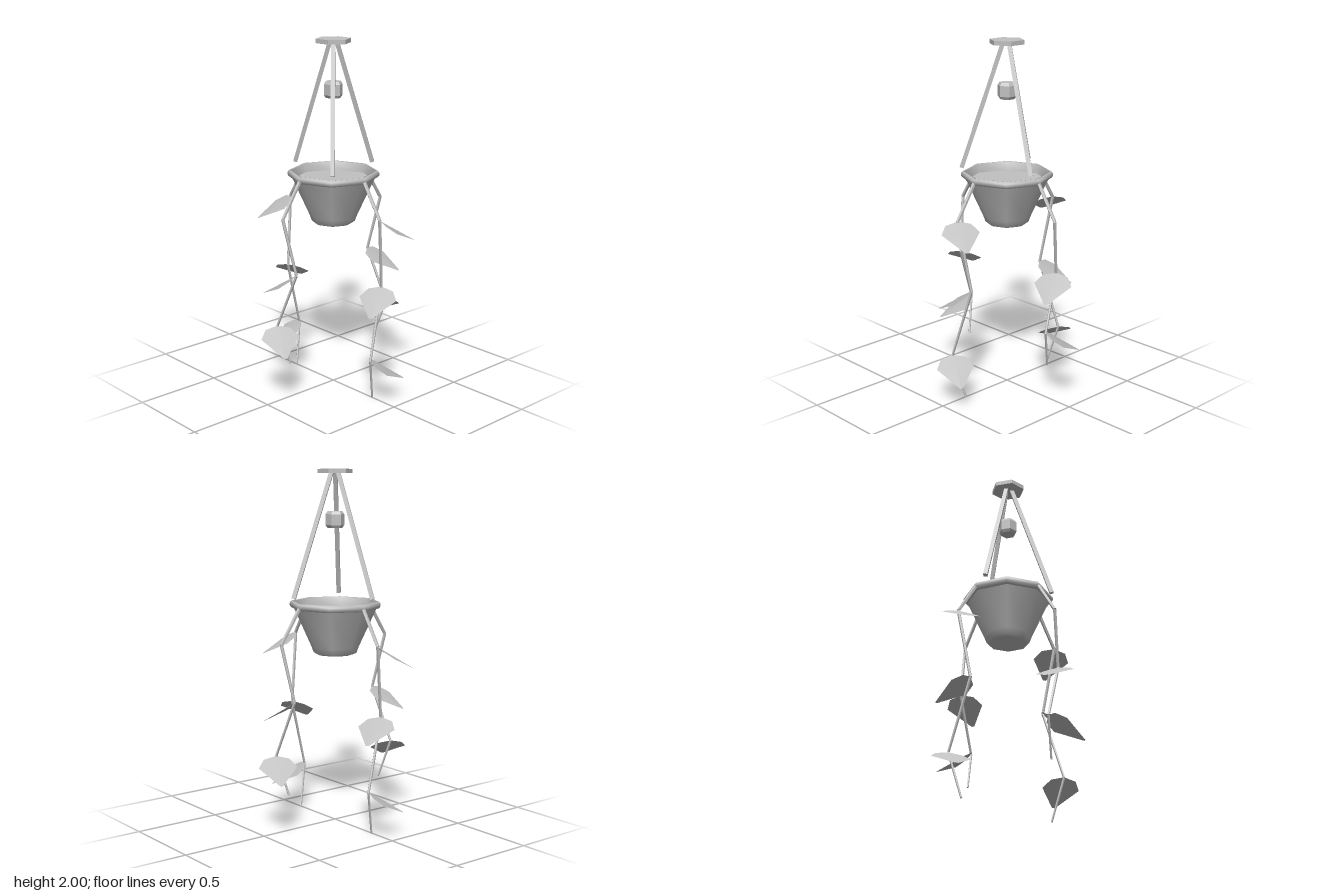
import * as THREE from 'three';

const grey = new THREE.MeshStandardMaterial({ color: 0xc0c0c0, flatShading: true });
grey.name = 'paleGrey';
const smoothGrey = new THREE.MeshStandardMaterial({ color: 0xc0c0c0 });
smoothGrey.name = 'paleGreySmooth';
const leafGrey = new THREE.MeshStandardMaterial({ color: 0xc0c0c0, side: THREE.DoubleSide });
leafGrey.name = 'paleGreyLeaf';

function add(parent, name, geometry, material) {
  const mesh = new THREE.Mesh(geometry, material);
  mesh.name = name;
  parent.add(mesh);
  return mesh;
}

// Straight faceted rod from a (radius ra) to b (radius rb)
function rod(parent, name, a, b, ra, rb, sides) {
  const dir = new THREE.Vector3().subVectors(b, a);
  const mesh = add(parent, name, new THREE.CylinderGeometry(rb, ra, dir.length(), sides), grey);
  mesh.position.addVectors(a, b).multiplyScalar(0.5);
  mesh.quaternion.setFromUnitVectors(new THREE.Vector3(0, 1, 0), dir.normalize());
  return mesh;
}

function lathe(points, sides) {
  return new THREE.LatheGeometry(points.map(([r, y]) => new THREE.Vector2(r, y)), sides);
}

// Leaf outline as [half width, length]; it slopes down and away, folded along its rib
const leafRows = [[0.004, 0], [0.072, 0.015], [0.107, 0.075], [0.008, 0.23]];

function leafGeometry(side) {
  const slope = 0.55;
  const heading = new THREE.Vector3(0.455, 0, -0.89 * side);
  const across = new THREE.Vector3(0.89, 0, 0.455 * side);
  const positions = [];
  const index = [];
  leafRows.forEach(([half, len], i) => {
    for (const k of [-1, 0, 1]) {
      const p = heading.clone().multiplyScalar(len * Math.cos(slope)).addScaledVector(across, k * half);
      p.y = -len * Math.sin(slope) - Math.abs(k) * half * 0.1;
      positions.push(p.x, p.y, p.z);
    }
    if (i === 0) return;
    for (const c of [0, 1]) {
      const a = (i - 1) * 3 + c, b = a + 1, d = a + 3, e = a + 4;
      if (side > 0) index.push(a, b, e, a, e, d);
      else index.push(a, e, b, a, d, e);
    }
  });
  const g = new THREE.BufferGeometry();
  g.setAttribute('position', new THREE.Float32BufferAttribute(positions, 3));
  g.setIndex(index);
  g.computeVertexNormals();
  return g;
}

// Trailing vine growing along +x, with a leaf at each listed bend
function makeVine(heights, leafBends) {
  const vine = new THREE.Group();
  vine.name = 'vine';
  const radial = [0.25, 0.372, 0.33, 0.37, 0.327];
  const sway = [0, 0, -0.06, 0.06, 0];
  const pts = heights.map((y, i) => new THREE.Vector3(radial[i], y, sway[i]));
  for (let i = 0; i < 4; i++) {
    rod(vine, 'stem', pts[i], pts[i + 1], 0.011 - i * 0.0013, 0.0097 - i * 0.0013, 5);
  }
  for (const i of leafBends) {
    add(vine, 'leaf', leafGeometry(i % 2 ? 1 : -1), leafGrey).position.copy(pts[i]);
  }
  return vine;
}

export function createModel() {
  const model = new THREE.Group();
  model.name = 'hangingPlanter';

  // Ceiling cap
  const cap = add(model, 'cap', new THREE.CylinderGeometry(0.098, 0.098, 0.024, 6), grey);
  cap.position.y = 1.988;
  cap.rotation.y = Math.PI / 6;

  // Bead among the ropes
  const bead = add(model, 'bead', lathe(
    [[0, -0.046], [0.042, -0.046], [0.053, -0.03], [0.053, 0.03], [0.042, 0.046], [0, 0.046]], 6), grey);
  bead.position.y = 1.722;
  bead.rotation.y = Math.PI / 6;

  // Three ropes
  for (let i = 0; i < 3; i++) {
    const a = THREE.MathUtils.degToRad(43.5 + i * 120);
    const at = (r, y) => new THREE.Vector3(r * Math.cos(a), y, r * Math.sin(a));
    rod(model, 'rope', at(0.252, 1.29), at(0.022, 1.98), 0.0165, 0.0165, 4);
  }

  // Tapered pot and its rim
  add(model, 'pot', lathe(
    [[0, 0.967], [0.105, 0.967], [0.122, 0.975], [0.135, 1.01], [0.235, 1.23]], 8), smoothGrey);
  add(model, 'rim', lathe(
    [[0.228, 1.226], [0.246, 1.228], [0.257, 1.24], [0.257, 1.255], [0.248, 1.267],
      [0.236, 1.265], [0.228, 1.21]], 8), smoothGrey);

  // Soil surface
  const soil = add(model, 'soil', new THREE.CircleGeometry(0.229, 8), grey);
  soil.rotation.x = -Math.PI / 2;
  soil.position.y = 1.217;

  // Four vines, long at the sides and short at front and back
  for (let i = 0; i < 4; i++) {
    const vine = i % 2 === 0
      ? makeVine([1.24, 1.05, 0.65, 0.25, 0], [1, 2, 3])
      : makeVine([1.24, 1.05, 0.735, 0.42, 0.2], [2, 3]);
    vine.rotation.y = i * Math.PI / 2;
    model.add(vine);
  }
  return model;
}
